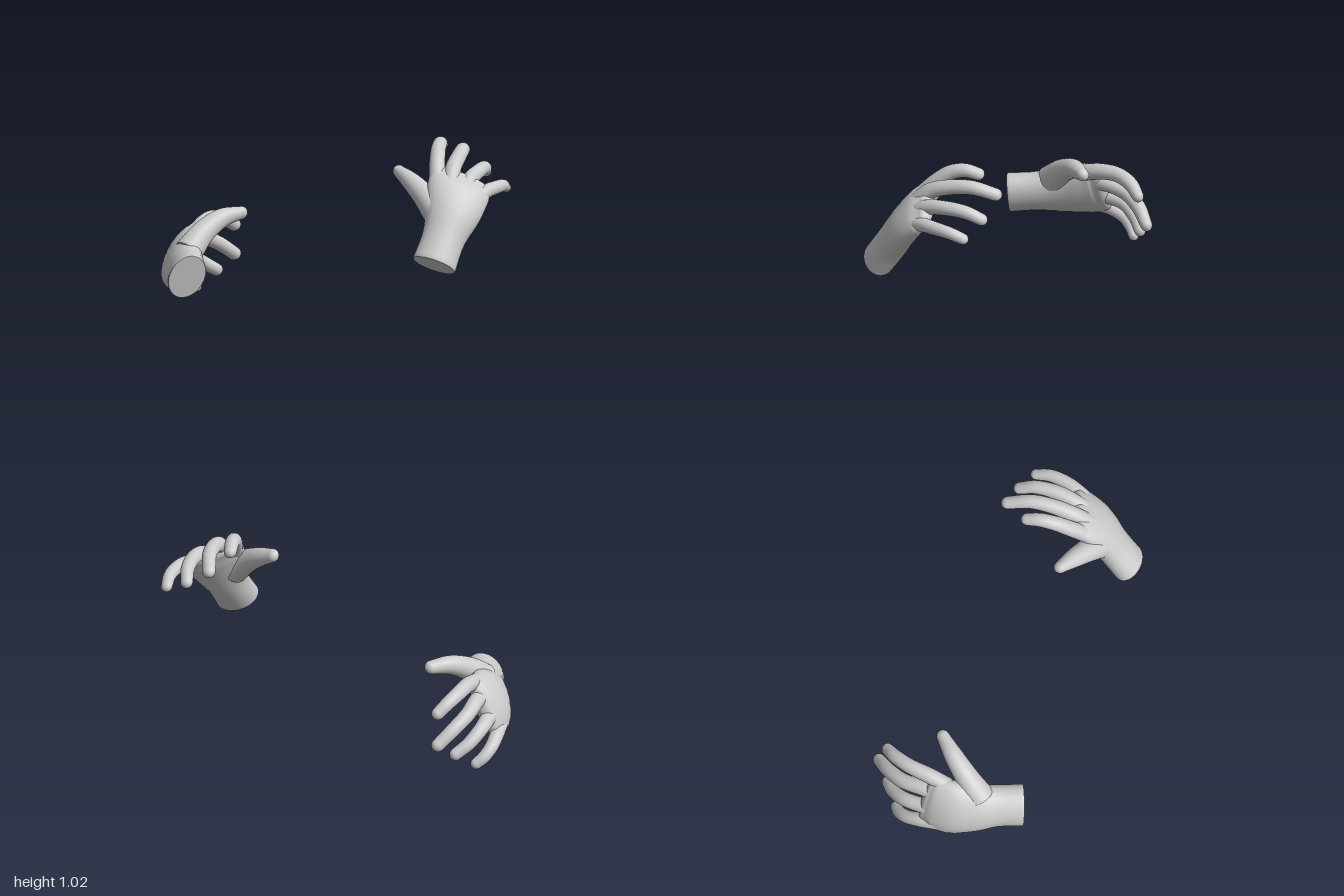
import * as THREE from 'three';

const SIDES = 28;
const material = new THREE.MeshStandardMaterial({ color: 0xcccccc });
const vec = (a) => new THREE.Vector3(...a);
const spline = (list) => new THREE.CatmullRomCurve3(list);

// Smooth skin over elliptical sections { c: centre, w: width direction, a: half width, b: half thickness }.
// The start is closed flat, the end is closed with a dome of the given length.
function loft(name, sections, dome) {
  const centre = spline(sections.map((s) => vec(s.c)));
  const across = spline(sections.map((s) => vec(s.w)));
  const size = spline(sections.map((s, i) => new THREE.Vector3(s.a, s.b, i)));
  const steps = (sections.length - 1) * 8, domeSteps = 8;
  const positions = [], index = [];

  const addRing = (u, push, scale) => {
    const c = centre.getPoint(u), t = centre.getTangent(u), s = size.getPoint(u);
    const n = t.clone().cross(across.getPoint(u)).normalize();
    const w = n.clone().cross(t);
    c.addScaledVector(t, push);
    for (let j = 0; j < SIDES; j++) {
      const q = (j / SIDES) * Math.PI * 2;
      const p = c.clone()
        .addScaledVector(w, s.x * scale * Math.cos(q))
        .addScaledVector(n, s.y * scale * Math.sin(q));
      positions.push(p.x, p.y, p.z);
    }
  };
  addRing(0, 0, 0.97);
  addRing(0, 0.008, 1);
  for (let i = 1; i <= steps; i++) addRing(i / steps, 0, 1);
  for (let i = 1; i <= domeSteps; i++) {
    const q = (i / domeSteps) * Math.PI / 2;
    addRing(1, dome * Math.sin(q), Math.max(Math.cos(q), 0.001));
  }
  const rings = positions.length / 3 / SIDES;
  for (let i = 0; i < rings - 1; i++) {
    for (let j = 0; j < SIDES; j++) {
      const k = (j + 1) % SIDES;
      const p = i * SIDES + j, q = i * SIDES + k;
      index.push(p, q, p + SIDES, q, q + SIDES, p + SIDES);
    }
  }
  // flat start cap with its own vertices, so its edge stays sharp
  const base = positions.length / 3;
  positions.push(...positions.slice(0, SIDES * 3));
  const start = centre.getPoint(0);
  positions.push(start.x, start.y, start.z);
  for (let j = 0; j < SIDES; j++) index.push(base + SIDES, base + ((j + 1) % SIDES), base + j);

  const geometry = new THREE.BufferGeometry();
  geometry.setAttribute('position', new THREE.Float32BufferAttribute(positions, 3));
  geometry.setIndex(index);
  geometry.computeVertexNormals();
  const mesh = new THREE.Mesh(geometry, material);
  mesh.name = name;
  return mesh;
}

// A finger is a round tube along its bones, tapering from r0 to r1
function finger(name, path, w, r0, r1) {
  const sections = path.map((c, i) => {
    const r = THREE.MathUtils.lerp(r0, r1, i / (path.length - 1));
    return { c, w, a: r, b: r * (i === path.length - 1 ? 0.9 : 1) };
  });
  return loft(name, sections, r1);
}

function hand(name, { palm, width, thumb, fingers }) {
  const group = new THREE.Group();
  group.name = name;
  group.add(loft('wristAndPalm', palm.map(([c, w, a, b]) => ({ c, w, a, b })), 0.04));
  group.add(finger('thumb', thumb, [0, 0.7, 0.7], 0.08, 0.038));
  const radii = { indexFinger: 0.046, middleFinger: 0.047, ringFinger: 0.045, littleFinger: 0.042 };
  for (const [part, path] of Object.entries(fingers)) {
    group.add(finger(part, path, width, radii[part], radii[part] - 0.01));
  }
  return group;
}

export function createModel() {
  const model = new THREE.Group();
  model.name = 'pairOfHands';

  // raised hand, back of the hand towards the front
  model.add(hand('leftHand', {
    palm: [
      [[0.70, 0.42, 0.495], [0.95, -0.25, -0.2], 0.122, 0.09],
      [[0.73, 0.555, 0.40], [0.93, -0.3, -0.18], 0.12, 0.092],
      [[0.76, 0.685, 0.315], [0.9, -0.38, -0.16], 0.155, 0.088],
      [[0.77, 0.785, 0.235], [0.86, -0.46, -0.14], 0.175, 0.073],
      [[0.775, 0.83, 0.185], [0.86, -0.46, -0.13], 0.165, 0.05],
    ],
    width: [0.86, -0.45, -0.1],
    thumb: [[0.68, 0.67, 0.335], [0.595, 0.755, 0.29], [0.505, 0.82, 0.235], [0.425, 0.863, 0.187]],
    fingers: {
      indexFinger: [[0.66, 0.82, 0.27], [0.635, 0.915, 0.18], [0.62, 0.975, 0.1], [0.61, 0.995, 0.02], [0.60, 0.982, -0.05]],
      middleFinger: [[0.73, 0.81, 0.27], [0.725, 0.895, 0.18], [0.725, 0.935, 0.07], [0.715, 0.95, -0.06], [0.685, 0.918, -0.185]],
      ringFinger: [[0.80, 0.78, 0.25], [0.815, 0.835, 0.17], [0.835, 0.86, 0.06], [0.835, 0.855, -0.07], [0.818, 0.82, -0.155]],
      littleFinger: [[0.86, 0.73, 0.24], [0.90, 0.77, 0.16], [0.935, 0.778, 0.07], [0.95, 0.772, -0.02], [0.945, 0.748, -0.097]],
    },
  }));

  // lowered hand, thumb side up and reaching backwards
  model.add(hand('rightHand', {
    palm: [
      [[-0.738, 0.24, 0.305], [0.5, 0.85, -0.08], 0.128, 0.095],
      [[-0.785, 0.25, 0.17], [0.5, 0.85, -0.05], 0.13, 0.09],
      [[-0.835, 0.26, 0.05], [0.47, 0.88, 0], 0.16, 0.09],
      [[-0.865, 0.275, -0.06], [0.44, 0.9, 0], 0.185, 0.085],
      [[-0.87, 0.285, -0.15], [0.43, 0.9, 0], 0.182, 0.066],
      [[-0.865, 0.287, -0.19], [0.43, 0.9, 0], 0.17, 0.05],
    ],
    width: [0.43, 0.9, 0],
    thumb: [[-0.79, 0.33, 0.08], [-0.735, 0.42, -0.01], [-0.65, 0.488, -0.115], [-0.568, 0.503, -0.195]],
    fingers: {
      indexFinger: [[-0.80, 0.40, -0.1], [-0.78, 0.435, -0.22], [-0.76, 0.44, -0.33], [-0.72, 0.415, -0.42], [-0.678, 0.375, -0.475]],
      middleFinger: [[-0.85, 0.33, -0.1], [-0.83, 0.345, -0.22], [-0.81, 0.32, -0.35], [-0.755, 0.27, -0.45], [-0.69, 0.205, -0.52]],
      ringFinger: [[-0.90, 0.25, -0.1], [-0.89, 0.24, -0.22], [-0.875, 0.22, -0.32], [-0.83, 0.17, -0.40], [-0.772, 0.125, -0.45]],
      littleFinger: [[-0.935, 0.17, -0.1], [-0.94, 0.145, -0.22], [-0.93, 0.11, -0.30], [-0.90, 0.07, -0.35], [-0.868, 0.043, -0.375]],
    },
  }));
  return model;
}
